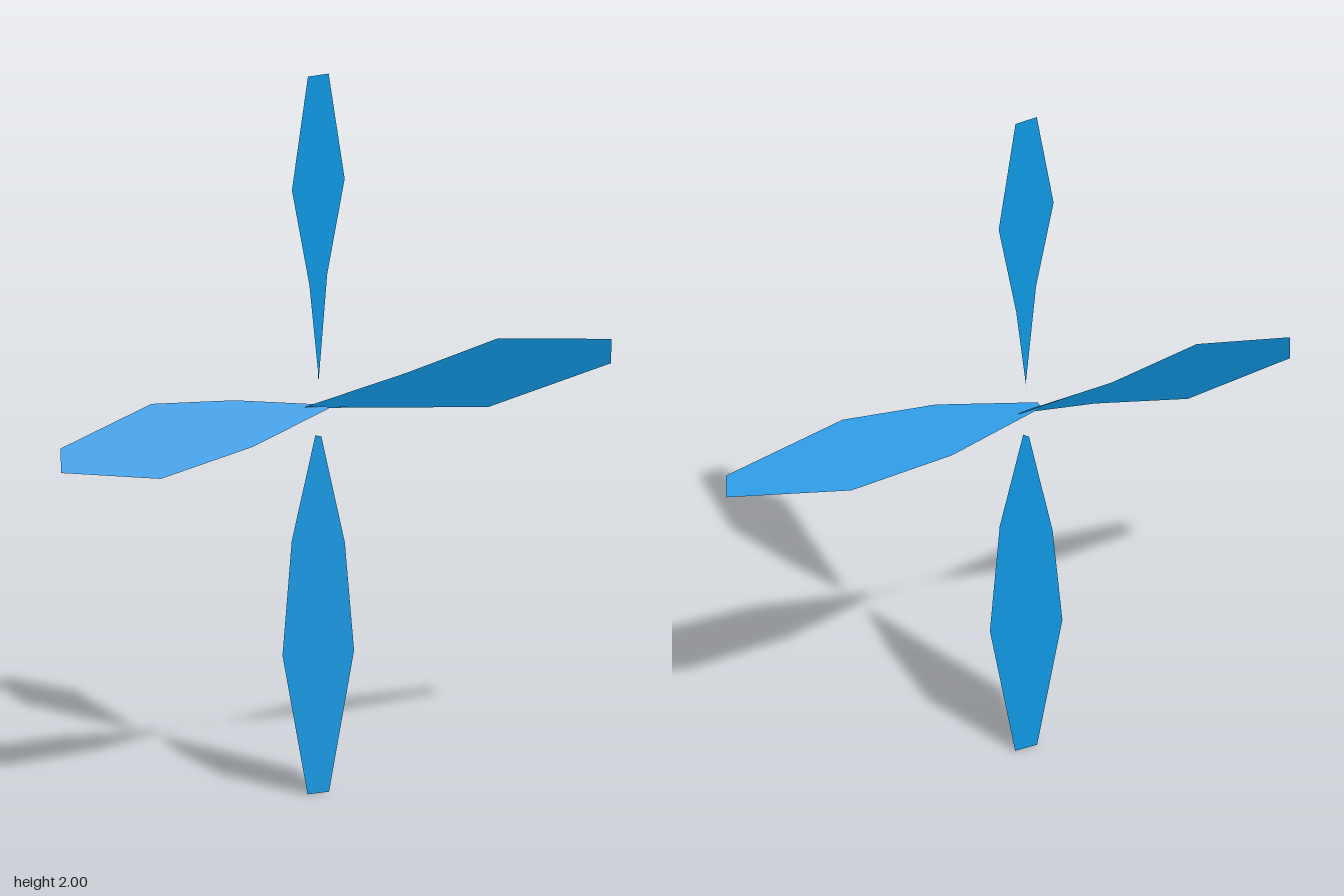
import * as THREE from 'three';

const bladeBlue = new THREE.MeshStandardMaterial({ color: 0x1098e4, side: THREE.DoubleSide });
bladeBlue.name = 'bladeBlue';

// Half width across the blade and half depth along z, from root to tip
const sections = [[0.004, 0.009], [0.057, 0.045], [0.1, 0.024], [0.034, 0.001]];

// One twisted sheet: root is [x, y], axis points to the tip, side points to the forward edge
function makeBlade(name, root, axis, side, stations) {
  const positions = [];
  const indices = [];
  stations.forEach((r, i) => {
    const [w, d] = sections[i];
    for (const s of [1, -1]) {
      positions.push(
        root[0] + axis[0] * r + side[0] * w * s,
        root[1] + axis[1] * r + side[1] * w * s,
        d * s
      );
    }
    if (i > 0) {
      const a = 2 * i - 2;
      indices.push(a + 1, a + 3, a, a, a + 3, a + 2);
    }
  });

  // Each blade is shaded as one facet, with its average normal
  const normal = new THREE.Vector3();
  const p = (i) => new THREE.Vector3().fromArray(positions, i * 3);
  for (let t = 0; t < indices.length; t += 3) {
    const a = p(indices[t]);
    const b = p(indices[t + 1]).sub(a);
    normal.add(b.cross(p(indices[t + 2]).sub(a)));
  }
  normal.normalize();
  const normals = [];
  for (let i = 0; i < positions.length; i += 3) normals.push(normal.x, normal.y, normal.z);

  const geometry = new THREE.BufferGeometry();
  geometry.setAttribute('position', new THREE.Float32BufferAttribute(positions, 3));
  geometry.setAttribute('normal', new THREE.Float32BufferAttribute(normals, 3));
  geometry.setIndex(indices);
  const mesh = new THREE.Mesh(geometry, bladeBlue);
  mesh.name = name;
  return mesh;
}

export function createModel() {
  const group = new THREE.Group();
  group.name = 'fourBladeRotor';
  const slope = 0.049; // the horizontal pair leans slightly
  group.add(
    makeBlade('topBlade', [-0.058, 1.155], [0, 1], [-1, 0], [0, 0.275, 0.54, 0.845]),
    makeBlade('bottomBlade', [-0.058, 0.995], [0, -1], [1, 0], [0, 0.295, 0.605, 0.995]),
    makeBlade('leftBlade', [-0.1, 1.08], [1, slope * 0.85], [0, 1], [0, 0.3, 0.605, 0.985]),
    makeBlade('rightBlade', [-0.03, 1.073], [-1, -slope * 1.2], [0, -1], [0, 0.27, 0.55, 0.857])
  );
  return group;
}
